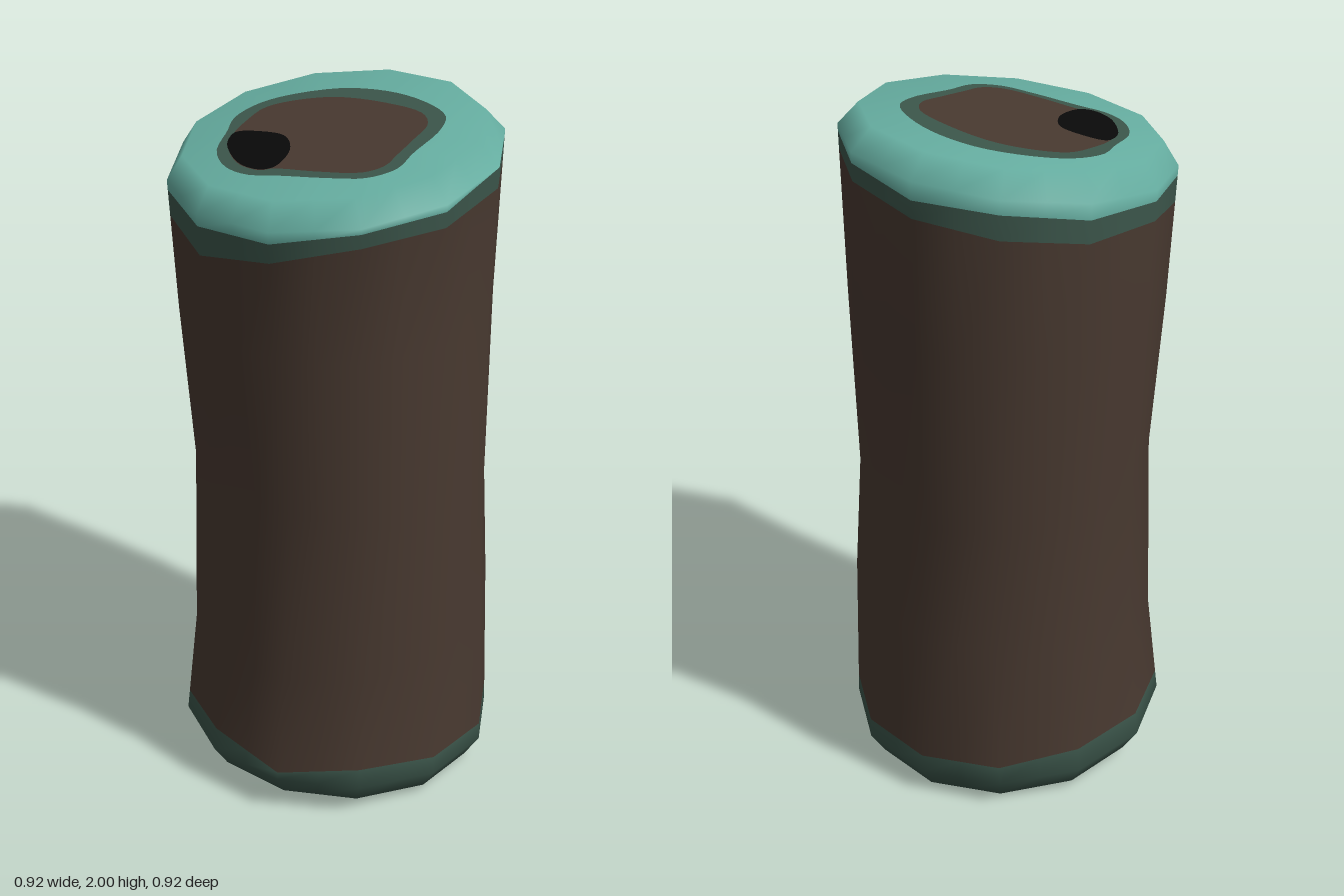
import * as THREE from 'three';

const N = 24; // twelve flat sides, each halved

const mat = (name, color, extra = {}) => {
  const m = new THREE.MeshStandardMaterial({ color, ...extra });
  m.name = name;
  return m;
};

// Twelve-sided ring: centre (cx, cz), radii (rx, rz), height y + slope * z
function ring(y, slope, rx, rz = rx, cx = 0, cz = 0) {
  const corner = (k) => {
    const a = (k * Math.PI) / 6;
    const z = cz + rz * Math.sin(a);
    return new THREE.Vector3(cx + rx * Math.cos(a), y + slope * z, z);
  };
  return Array.from({ length: N }, (_, i) =>
    corner(Math.floor(i / 2)).lerp(corner(Math.ceil(i / 2)), 0.5));
}

// Wavy colour border on the wall between two rings, one height per corner
function border(lower, upper, heights) {
  return lower.map((p, i) => {
    const h = (heights[Math.floor(i / 2)] + heights[Math.ceil(i / 2) % 12]) / 2;
    return p.clone().lerp(upper[i], (h - p.y) / (upper[i].y - p.y));
  });
}

// Smooth closed outline laid on the slanted top
function patch(name, material, lift, points) {
  const curve = new THREE.CatmullRomCurve3(
    points.map(([x, z]) => new THREE.Vector3(x, -z, 0)), true);
  const shape = new THREE.Shape(curve.getPoints(64).map((p) => new THREE.Vector2(p.x, p.y)));
  const geo = new THREE.ShapeGeometry(shape);
  geo.rotateX(-Math.PI / 2);
  const pos = geo.attributes.position;
  for (let i = 0; i < pos.count; i++) pos.setY(i, 1.946 - 0.135 * pos.getZ(i) + lift);
  geo.computeVertexNormals();
  const mesh = new THREE.Mesh(geo, material);
  mesh.name = name;
  return mesh;
}

export function createModel() {
  const teal = mat('teal', 0x66aea1);
  const green = mat('dark green', 0x3c564b);
  const brown = mat('dark brown', 0x483930);
  const black = mat('black', 0x090909);

  // Main rings from the foot to the slanted top
  const foot = ring(0.025, 0.06, 0.415);
  const base = ring(0.095, 0.055, 0.46);
  const low = ring(0.49, -0.14, 0.44, 0.435, 0, -0.015);
  const waist = ring(0.94, 0.14, 0.445, 0.41, 0.005, -0.01);
  const chest = ring(1.45, 0, 0.445, 0.44, -0.015, -0.01);
  const shoulder = ring(1.88, -0.13, 0.46, 0.457, 0, 0.003);
  const top = ring(1.946, -0.135, 0.41, 0.407, 0, 0.012);

  const footBorder = border(base, low,
    [0.15, 0.17, 0.14, 0.19, 0.175, 0.18, 0.17, 0.14, 0.13, 0.13, 0.13, 0.135]);
  const greenBorder = border(chest, shoulder,
    [1.815, 1.795, 1.74, 1.70, 1.725, 1.765, 1.77, 1.80, 1.83, 1.86, 1.86, 1.85]);
  const tealBorder = border(chest, shoulder,
    [1.86, 1.835, 1.795, 1.785, 1.8, 1.82, 1.835, 1.87, 1.88, 1.91, 1.91, 1.91]);

  const rings = [ring(0.025, 0, 0), foot, base, footBorder, low, waist, chest,
    greenBorder, tealBorder, shoulder, top, ring(1.946, 0, 0)];
  const bands = [3, 1, 1, 2, 2, 2, 2, 1, 0, 0, 0]; // material of each band

  // Post skin: rings joined into one smooth surface
  const geo = new THREE.BufferGeometry().setFromPoints(rings.flat());
  const index = [];
  bands.forEach((m, r) => {
    geo.addGroup(index.length, N * 6, m);
    for (let i = 0; i < N; i++) {
      const j = (i + 1) % N;
      const a = r * N, b = a + N;
      index.push(a + i, b + i, a + j, b + i, b + j, a + j);
    }
  });
  geo.setIndex(index);
  geo.computeVertexNormals();
  const post = new THREE.Mesh(geo, [teal, green, brown, black]);
  post.name = 'post';

  // Painted patches on the top
  const rim = patch('hollowRim', green, 0.002, [
    [-0.31, 0.03], [-0.28, -0.07], [-0.2, -0.18], [-0.08, -0.245], [0.05, -0.262],
    [0.16, -0.24], [0.22, -0.17], [0.27, -0.04], [0.31, 0.05], [0.29, 0.13],
    [0.22, 0.19], [0.1, 0.27], [0.03, 0.32], [-0.05, 0.33], [-0.15, 0.29],
    [-0.23, 0.2], [-0.29, 0.13]]);
  const core = patch('hollowCore', brown, 0.004, [
    [-0.27, 0.04], [-0.235, -0.05], [-0.16, -0.13], [-0.02, -0.19], [0.1, -0.208],
    [0.17, -0.17], [0.21, -0.09], [0.25, 0], [0.275, 0.06], [0.26, 0.12],
    [0.16, 0.195], [0.06, 0.255], [0.04, 0.285], [-0.03, 0.3], [-0.13, 0.265],
    [-0.2, 0.2], [-0.24, 0.13]]);
  const spot = patch('darkSpot', black, 0.006, [
    [-0.2, 0.19], [-0.15, 0.145], [-0.08, 0.12], [-0.01, 0.15], [0.035, 0.2],
    [0.056, 0.255], [0.04, 0.285], [-0.02, 0.3], [-0.1, 0.28], [-0.17, 0.24]]);

  const model = new THREE.Group();
  model.name = 'mossyPost';
  model.add(post, rim, core, spot);
  return model;
}
